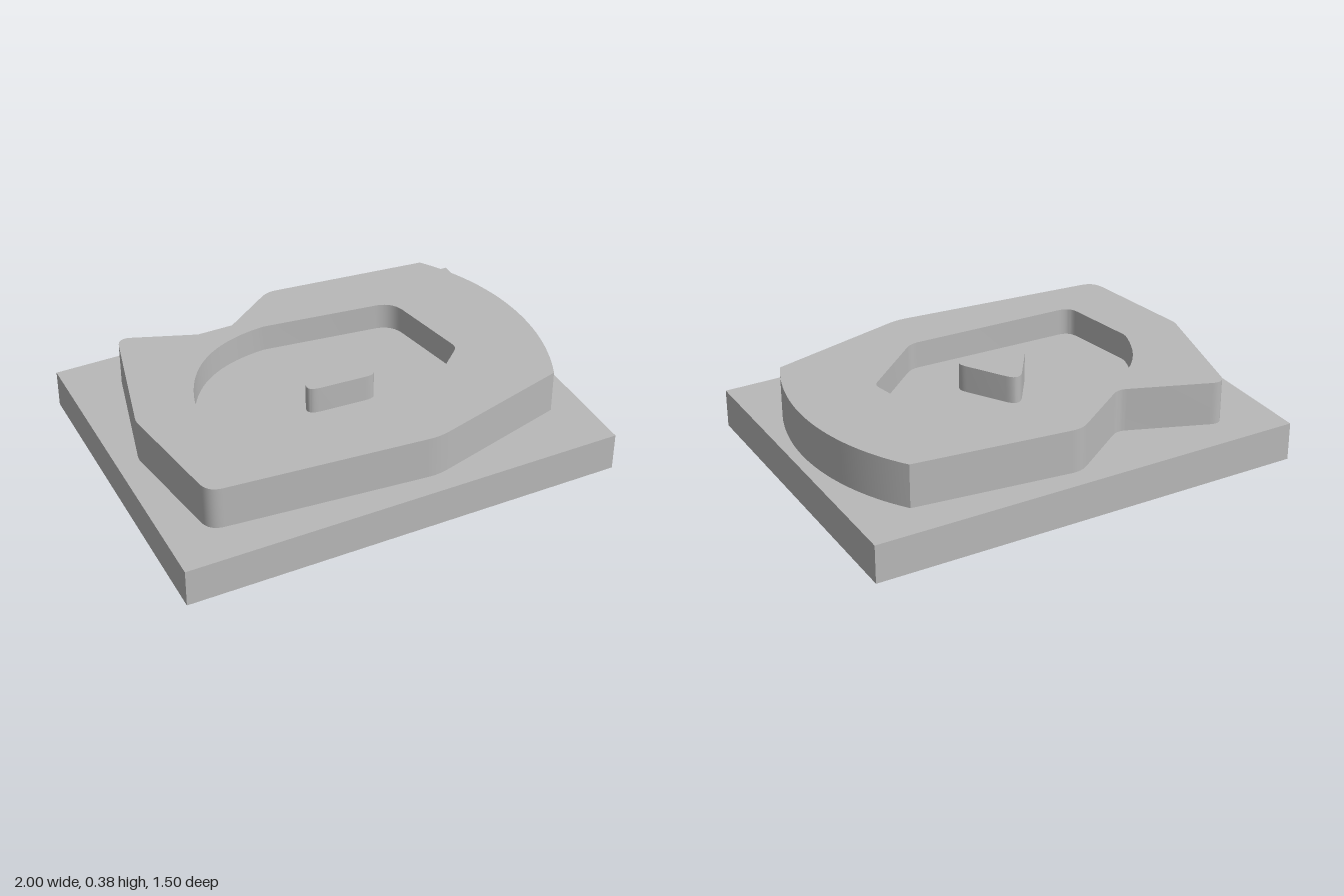
import * as THREE from 'three';
import { toCreasedNormals } from 'three/addons/utils/BufferGeometryUtils.js';

const grey = new THREE.MeshStandardMaterial({ color: 0xb8b8b8 });
grey.name = 'light grey';

// Closed outline from corners [x, z, t]; t is how far the rounding reaches along each edge.
function outline(corners) {
  const shape = new THREE.Shape();
  const n = corners.length;
  const pts = corners.map(([x, z]) => new THREE.Vector2(x, -z));
  const toward = (a, b, t) => a.clone().add(b.clone().sub(a).setLength(t));
  corners.forEach(([, , t], i) => {
    const p = pts[i];
    const start = t ? toward(p, pts[(i + n - 1) % n], t) : p;
    if (i === 0) shape.moveTo(start.x, start.y);
    else shape.lineTo(start.x, start.y);
    if (t) {
      const end = toward(p, pts[(i + 1) % n], t);
      shape.quadraticCurveTo(p.x, p.y, end.x, end.y);
    }
  });
  shape.closePath();
  return shape;
}

// Upright solid between two heights
function slab(name, shape, bottom, top) {
  const geo = new THREE.ExtrudeGeometry(shape, { depth: top - bottom, bevelEnabled: false, curveSegments: 10 });
  geo.rotateX(-Math.PI / 2).translate(0, bottom, 0);
  const mesh = new THREE.Mesh(toCreasedNormals(geo, 0.45), grey);
  mesh.name = name;
  return mesh;
}

export function createModel() {
  const group = new THREE.Group();
  group.name = 'pocketedPlate';
  const baseTop = 0.175, floor = 0.25, top = 0.375;

  // Rectangular base
  const base = new THREE.Mesh(new THREE.BoxGeometry(2, baseTop, 1.5), grey);
  base.position.y = baseTop / 2;
  base.name = 'base';
  group.add(base);

  // Raised boss outline with a bowed right side
  const bow = [];
  for (let i = 0; i <= 28; i++) {
    const a = THREE.MathUtils.lerp(0.449, -0.633, i / 28);
    bow.push([-0.065 + 1.013 * Math.cos(a), 0.03 + 1.013 * Math.sin(a), 0]);
  }
  const boss = outline([
    ...bow,
    [0.0, -0.655, 0.045], [-0.31, -0.435, 0.04], [-0.75, -0.605, 0.06],
    [-0.9, 0, 0.02], [-0.815, 0.56, 0.065], [0.19, 0.65, 0.05],
  ]);

  // Pocket outline with one curved corner
  const sweep = new THREE.QuadraticBezierCurve(
    new THREE.Vector2(-0.62, -0.035), new THREE.Vector2(-0.51, -0.385), new THREE.Vector2(-0.13, -0.405));
  const pocketCorners = [
    ...sweep.getPoints(20).map((p) => [p.x, p.y, 0]),
    [0.475, -0.325, 0.08], [0.565, 0.115, 0.03], [0.25, 0.397, 0.04],
    [-0.565, 0.373, 0.055], [-0.63, 0, 0.02],
  ];

  boss.holes.push(new THREE.Path(outline(pocketCorners).getPoints(10)));
  group.add(slab('bossWall', boss, baseTop, top));
  group.add(slab('pocketFloor', outline(pocketCorners), baseTop, floor));

  // Rounded triangular island in the pocket
  const island = outline([[0, -0.152, 0.075], [-0.185, 0.121, 0.08], [0.182, 0.143, 0.08]]);
  group.add(slab('island', island, floor, top));

  return group;
}
